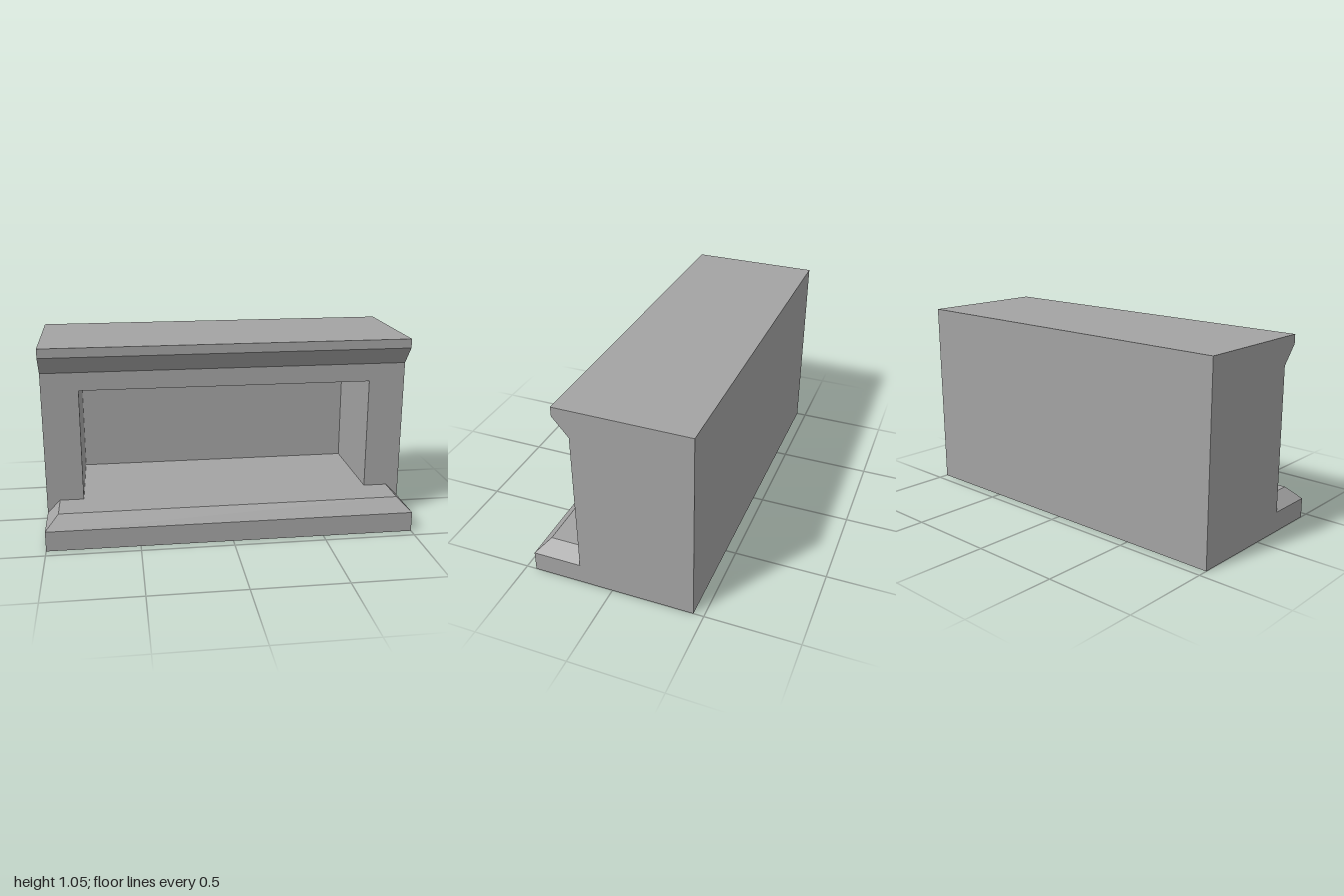
import * as THREE from 'three';

export function createModel() {
  const group = new THREE.Group();
  group.name = 'fireplaceSurround';
  const stone = new THREE.MeshStandardMaterial({ color: 0xa3a3a3 });
  stone.name = 'grey stone';

  const BACK = -0.445, INNER = -0.385, FACE = 0.18, LIP = 0.265, FRONT = 0.445;
  const HEIGHT = 1.05, FLOOR = 0.18, STEP = 0.11;

  const add = (name, geometry) => {
    const mesh = new THREE.Mesh(geometry, stone);
    mesh.name = name;
    group.add(mesh);
    return mesh;
  };
  const box = (name, y0, y1, z0, z1) => {
    const geometry = new THREE.BoxGeometry(2, y1 - y0, z1 - z0);
    geometry.translate(0, (y0 + y1) / 2, (z0 + z1) / 2);
    return add(name, geometry);
  };
  const rectangle = (x, y0, y1) => [[-x, y0], [x, y0], [x, y1], [-x, y1]].map(p => new THREE.Vector2(...p));

  // Surround: floor, side pillars and lintel around the opening
  const frame = new THREE.Shape(rectangle(1, 0, HEIGHT));
  frame.holes.push(new THREE.Path(rectangle(0.8, FLOOR, 0.8)));
  const frameGeometry = new THREE.ExtrudeGeometry(frame, { depth: FACE - INNER, bevelEnabled: false });
  frameGeometry.translate(0, 0, INNER);
  add('surround', frameGeometry);

  // Closed back of the recess
  box('backPanel', 0, HEIGHT, BACK, INNER);

  // Hearth with its top edge chamfered on the front and both ends
  box('hearthBase', 0, STEP, FACE, FRONT);
  const chamfer = box('hearthChamfer', STEP, FLOOR, FACE, FRONT).geometry;
  const p = chamfer.attributes.position;
  for (let i = 0; i < p.count; i++) {
    if (p.getY(i) < FLOOR - 0.01) continue;
    p.setX(i, Math.sign(p.getX(i)) * 0.93);
    if (p.getZ(i) > FACE + 0.01) p.setZ(i, 0.375);
  }
  chamfer.computeVertexNormals();

  // Mantel lip: side profile swept across the full width
  const lip = new THREE.Shape([[-FACE, 0.9], [-FACE, HEIGHT], [-LIP, HEIGHT], [-LIP, 1]]
    .map(q => new THREE.Vector2(...q)));
  const lipGeometry = new THREE.ExtrudeGeometry(lip, { depth: 2, bevelEnabled: false });
  lipGeometry.rotateY(Math.PI / 2).translate(-1, 0, 0);
  add('mantelLip', lipGeometry);

  return group;
}
